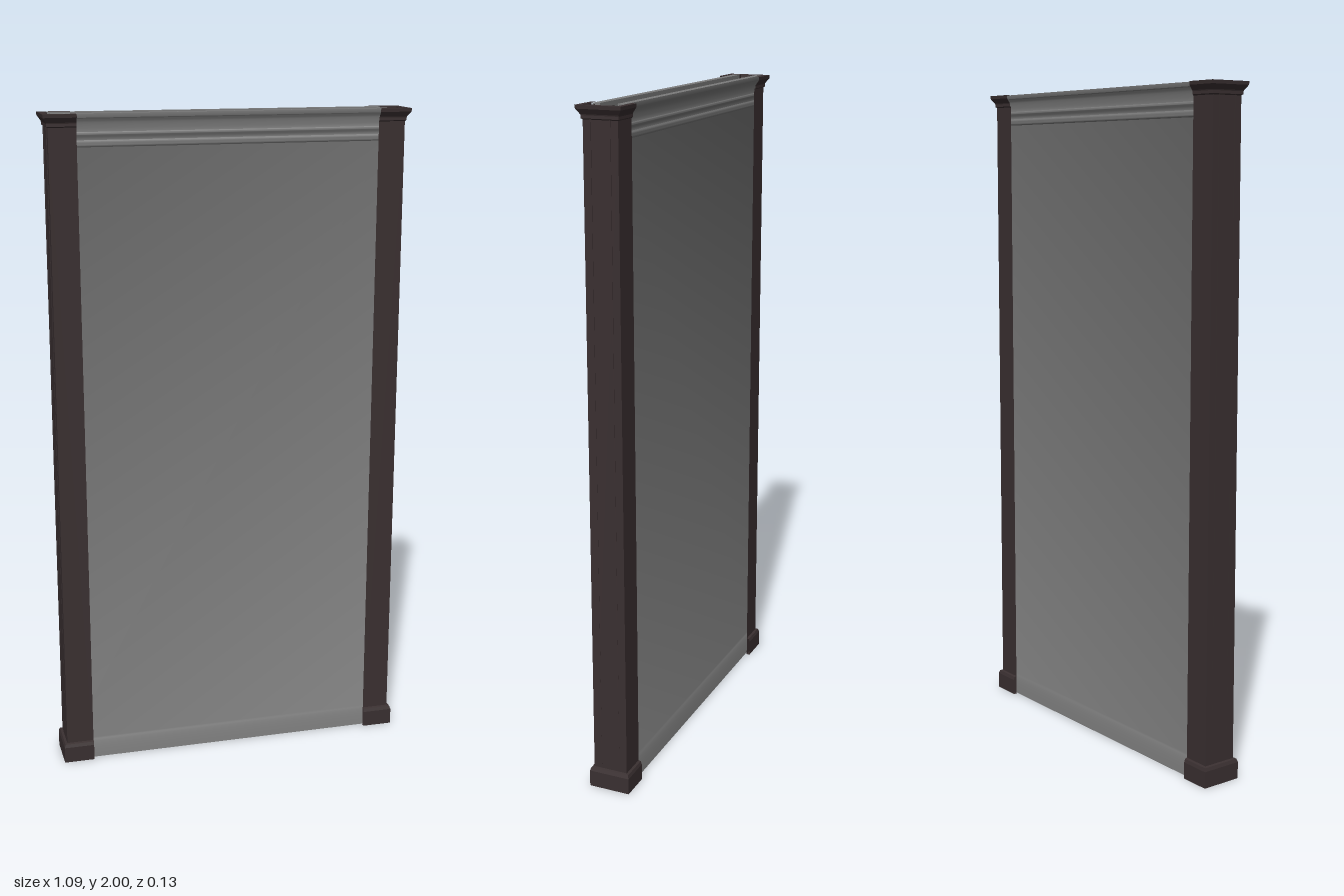
import * as THREE from 'three';
import { toCreasedNormals } from 'three/addons/utils/BufferGeometryUtils.js';

const darkFrame = new THREE.MeshStandardMaterial({ color: 0x3a3031, side: THREE.DoubleSide });
darkFrame.name = 'darkFrame';
const greyPanel = new THREE.MeshStandardMaterial({ color: 0x7c7c7c });
greyPanel.name = 'greyPanel';

// Channel post: a U-shaped outline, open towards the panel, lofted through [y, flare] rings
function channelGeometry(rings) {
  const inner = 0.45, outer = 0.531, depth = 0.051;
  const outline = ([y, f]) => [
    [inner, y, depth + f], [outer + f, y, depth + f],
    [outer + f, y, -depth - f], [inner, y, -depth - f],
  ];
  const pos = [];
  for (let i = 0; i < rings.length - 1; i++) {
    const a = outline(rings[i]), b = outline(rings[i + 1]);
    for (let j = 0; j < 3; j++) {
      pos.push(...a[j], ...a[j + 1], ...b[j + 1], ...a[j], ...b[j + 1], ...b[j]);
    }
  }
  const g = new THREE.BufferGeometry();
  g.setAttribute('position', new THREE.Float32BufferAttribute(pos, 3));
  g.computeVertexNormals();
  return g;
}

// Moulded board: side profile with baseboard, flat field and crown, extruded along x
function boardGeometry() {
  const s = new THREE.Shape();
  s.moveTo(-0.026, 0);
  s.lineTo(-0.026, 2);
  s.lineTo(-0.0475, 2);
  s.lineTo(-0.0475, 1.988);
  s.quadraticCurveTo(-0.039, 1.982, -0.038, 1.948);
  s.quadraticCurveTo(-0.043, 1.942, -0.037, 1.935);
  s.lineTo(-0.035, 1.925);
  s.quadraticCurveTo(-0.042, 1.914, -0.034, 1.905);
  s.lineTo(-0.034, 0.062);
  s.quadraticCurveTo(-0.041, 0.05, -0.0475, 0);
  s.closePath();
  const g = new THREE.ExtrudeGeometry(s, { depth: 1, bevelEnabled: false, curveSegments: 6 });
  g.rotateY(Math.PI / 2).translate(-0.52, 0, 0);
  return toCreasedNormals(g, 0.6);
}

export function createModel() {
  const model = new THREE.Group();
  model.name = 'framedPanel';
  const add = (parent, name, geometry, material) => {
    const m = new THREE.Mesh(geometry, material);
    m.name = name;
    parent.add(m);
    return m;
  };

  const base = channelGeometry([[0, 0], [0, 0.0125], [0.05, 0.0125], [0.06, 0.009], [0.062, 0.002]]);
  const shaft = channelGeometry([[0, 0.002], [1.965, 0]]);
  const cap = channelGeometry([[1.962, 0], [1.965, 0.004], [1.973, 0.004], [1.976, 0.005],
    [1.99, 0.0145], [2, 0.0155], [2, 0]]);
  const tongue = new THREE.BoxGeometry(0.028, 1.998, 0.002).translate(0.519, 1, 0);

  // Mirrored posts
  for (const side of [1, -1]) {
    const post = new THREE.Group();
    post.name = side > 0 ? 'leftPost' : 'rightPost';
    post.scale.x = side;
    add(post, 'postBase', base, darkFrame);
    add(post, 'postShaft', shaft, darkFrame);
    add(post, 'postCap', cap, darkFrame);
    for (const z of [0.0285, -0.0285]) add(post, 'postTongue', tongue, darkFrame).position.z = z;
    model.add(post);
  }

  // Front and back boards with an open gap between them
  const board = boardGeometry();
  add(model, 'frontBoard', board, greyPanel);
  add(model, 'backBoard', board, greyPanel).scale.z = -1;
  return model;
}
